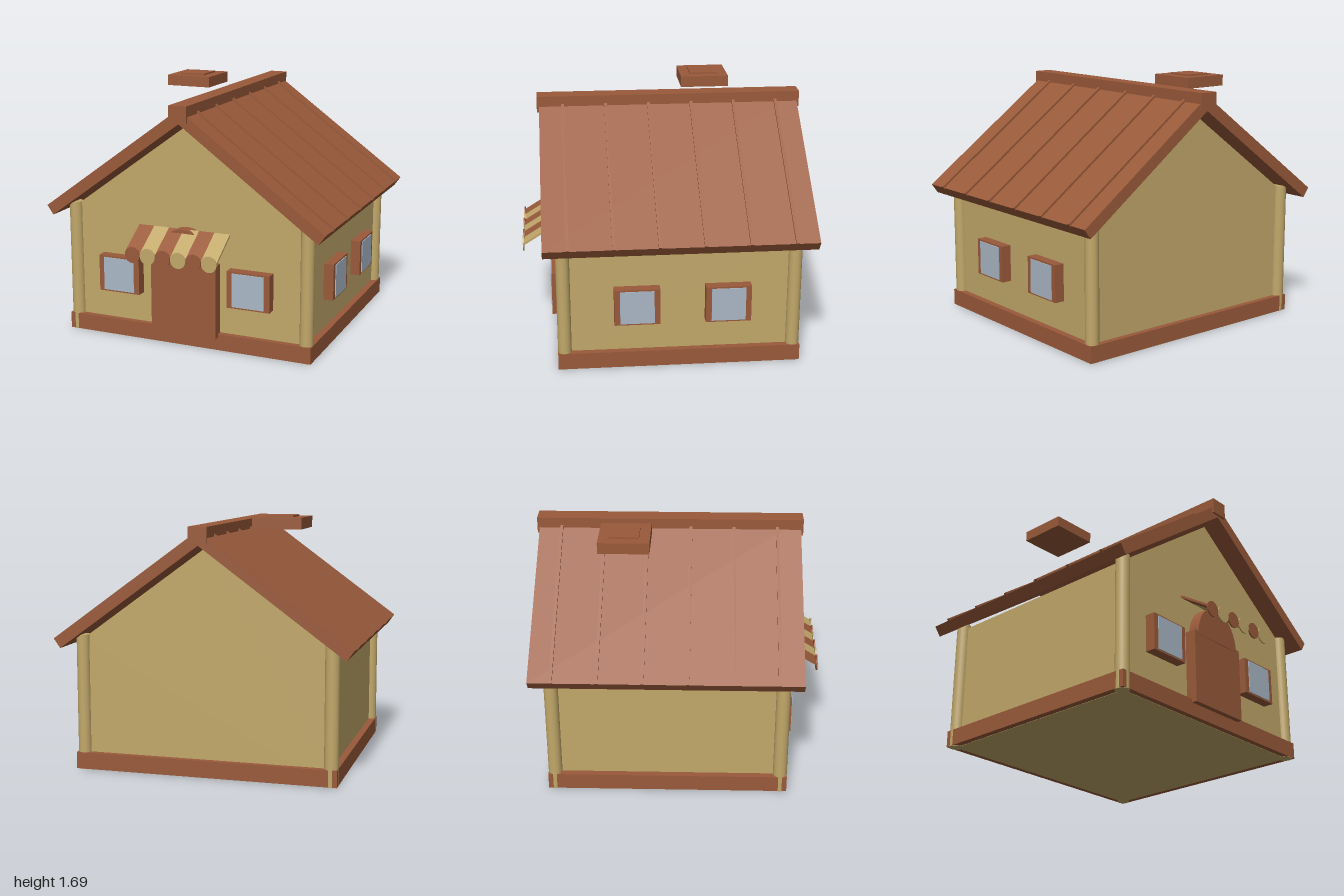
import * as THREE from 'three';

const mat = (name, color) => {
  const m = new THREE.MeshStandardMaterial({ color });
  m.name = name;
  return m;
};

export function createModel() {
  const house = new THREE.Group();
  house.name = 'house';
  const wood = mat('brown wood', 0x9a5a3a);
  const plaster = mat('cream plaster', 0xc2a86a);
  const glass = mat('pale glass', 0xaab8c6);
  const ZC = -0.065; // middle of the house along z

  const add = (name, geometry, material, x = 0, y = 0, z = 0, parent = house) => {
    const mesh = new THREE.Mesh(geometry, material);
    mesh.name = name;
    mesh.position.set(x, y, z);
    parent.add(mesh);
    return mesh;
  };
  const box = (name, material, w, h, d, x, y, z, parent) =>
    add(name, new THREE.BoxGeometry(w, h, d), material, x, y, z, parent);
  // Extrudes an outline of [x, y] points along z, centred on the given z
  const prism = (name, material, points, depth, z) => {
    const shape = new THREE.Shape(points.map(([x, y]) => new THREE.Vector2(x, y)));
    const geometry = new THREE.ExtrudeGeometry(shape, { depth, bevelEnabled: false });
    return add(name, geometry, material, 0, 0, z - depth / 2);
  };

  // Base, and walls with gables in one pentagonal prism
  box('base', wood, 1.77, 0.112, 1.61, 0, 0.058, ZC);
  prism('walls', plaster,
    [[-0.84, 0], [0.84, 0], [0.84, 0.88], [0, 1.49], [-0.84, 0.88]], 1.53, ZC);

  // Round corner posts
  for (const sx of [-1, 1]) {
    for (const sz of [-1, 1]) {
      const r = sx < 0 ? 0.047 : 0.045;
      add('cornerPost', new THREE.CylinderGeometry(r, r, 0.91, 20), plaster,
        sx * 0.84, 0.455, ZC + sz * 0.76);
    }
  }

  // Roof: two mitred slabs, ribs across them and a ridge beam
  prism('roof', wood,
    [[0.95, 0.83], [0.995, 0.893], [0, 1.615], [-0.995, 0.893], [-0.95, 0.83], [0, 1.52]],
    1.775, ZC - 0.002);
  const slope = Math.atan2(1.615 - 0.893, 0.995);
  for (let i = 0; i < 6; i++) {
    for (const s of [-1, 1]) {
      const rib = box('roofRib', wood, 1.19, 0.024, 0.02, s * 0.518, 1.242, -0.803 + i * 0.2925);
      rib.rotation.z = -s * slope;
    }
  }
  box('ridgeBeam', wood, 0.125, 0.11, 1.805, 0, 1.585, ZC - 0.002);

  // Chimney cap, floating above the roof
  box('chimneyCap', wood, 0.33, 0.075, 0.335, -0.4, 1.6425, -0.35);
  box('chimneyCapTop', wood, 0.185, 0.012, 0.195, -0.4, 1.685, -0.35);

  // Windows: frame with a thin pane on its face, built facing +z
  const addWindow = (x, z, turn) => {
    const win = new THREE.Group();
    win.name = 'window';
    box('windowFrame', wood, 0.3, 0.25, 0.07, 0, 0, 0.035, win);
    box('windowPane', glass, 0.225, 0.228, 0.008, 0, 0, 0.072, win);
    win.position.set(x, 0.445, z);
    win.rotation.y = turn;
    house.add(win);
  };
  addWindow(-0.48, 0.7, 0);
  addWindow(0.46, 0.7, 0);
  addWindow(0.838, 0.217, Math.PI / 2);
  addWindow(0.838, -0.383, Math.PI / 2);

  // Door with a rounded head
  box('door', wood, 0.47, 0.5, 0.087, 0, 0.34, 0.7335);
  const head = new THREE.Shape();
  head.absellipse(0, 0, 0.2, 0.245, 0, Math.PI, false);
  head.closePath();
  add('doorHead', new THREE.ExtrudeGeometry(head, { depth: 0.08, bevelEnabled: false, curveSegments: 20 }),
    wood, 0, 0.57, 0.7);

  // Striped awning with a scalloped edge of discs
  const run = 0.215, drop = 0.135, stripe = 0.109;
  for (let i = 0; i < 6; i++) {
    const material = i % 2 ? plaster : wood;
    const x = -0.275 + i * stripe;
    const strip = box('awningStripe', material, stripe, 0.014, Math.hypot(run, drop),
      x, 0.738, 0.85);
    strip.rotation.x = Math.atan2(drop, run);
    const disc = add('awningScallop', new THREE.CylinderGeometry(0.054, 0.054, 0.009, 24),
      material, x, 0.661, 0.957);
    disc.rotation.x = Math.PI / 2;
  }
  return house;
}
